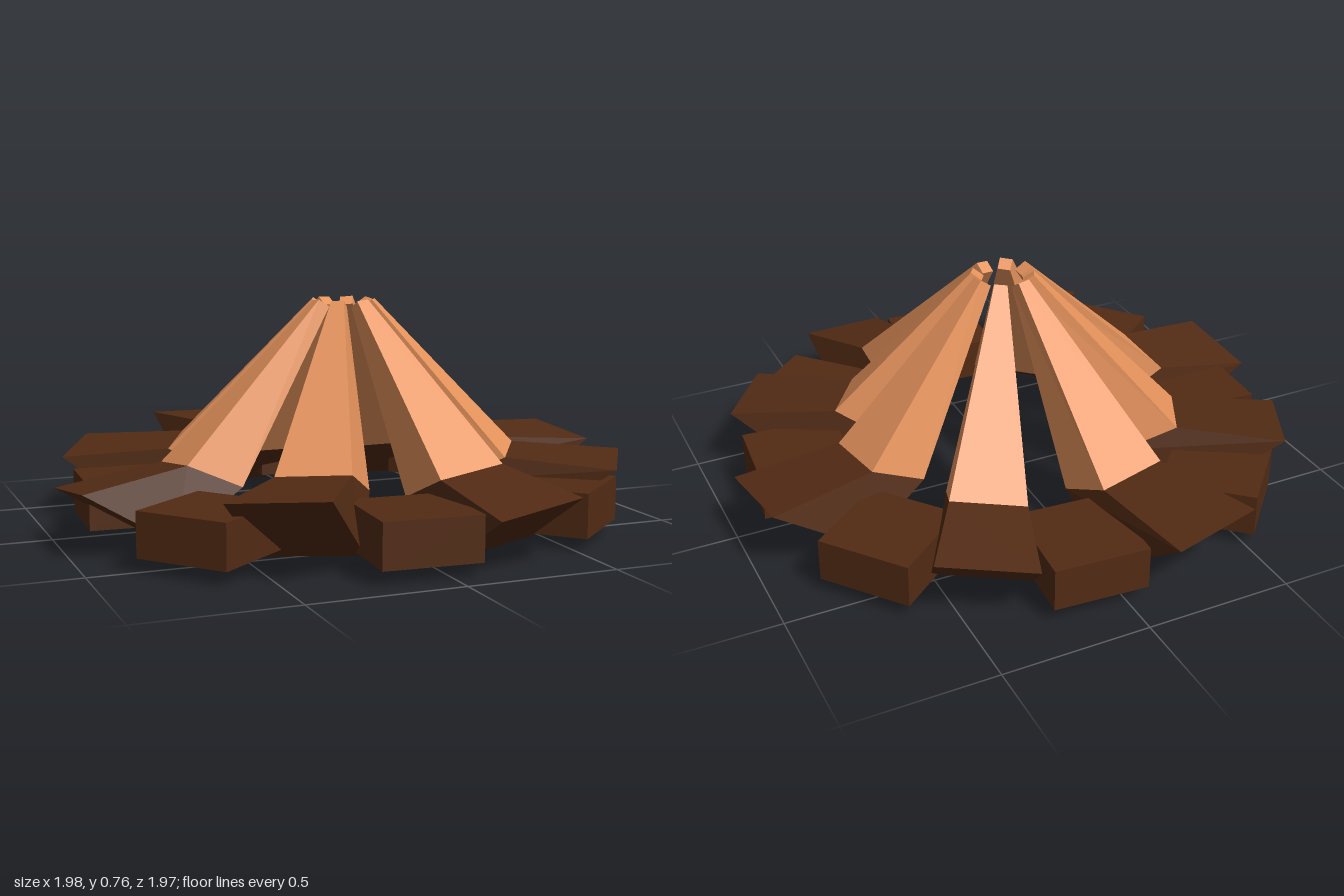
import * as THREE from 'three';

const orange = new THREE.MeshStandardMaterial({ color: 0xe6935c, flatShading: true });
const brown = new THREE.MeshStandardMaterial({ color: 0x522b14, flatShading: true });
const rad = THREE.MathUtils.degToRad;

// Four-sided block between two end quads; each end is [outer, inner] edges
// given as [reach, height, half width].
function taperedBlock(upper, lower, material, name) {
  const pos = [];
  for (const [o, i] of [upper, lower]) {
    pos.push(o[0], o[1], o[2], o[0], o[1], -o[2], i[0], i[1], -i[2], i[0], i[1], i[2]);
  }
  const index = [0, 1, 2, 0, 2, 3, 4, 6, 5, 4, 7, 6];
  for (let k = 0; k < 4; k++) {
    const n = (k + 1) % 4;
    index.push(k, k + 4, n + 4, k, n + 4, n);
  }
  let geo = new THREE.BufferGeometry();
  geo.setAttribute('position', new THREE.Float32BufferAttribute(pos, 3));
  geo.setIndex(index);
  geo = geo.toNonIndexed();
  geo.computeVertexNormals();
  const mesh = new THREE.Mesh(geo, material);
  mesh.name = name;
  return mesh;
}

// Leaning log: long tapered shaft with a wide flared foot, rolled about its axis
function makeLog([angle, reach, footReach, footY, roll]) {
  const tip = [[0.105, 0.76, 0.022], [0.068, 0.735, 0.022]];
  const knee = [[reach, 0.255, 0.125], [reach - 0.18, 0.17, 0.132]];
  const foot = [[footReach, footY, 0.162], [reach + 0.07, 0.02, 0.165]];
  const rolled = new THREE.Group();
  rolled.add(taperedBlock(tip, knee, orange, 'logShaft'));
  rolled.add(taperedBlock(knee, foot, brown, 'logFoot'));

  const pivot = new THREE.Vector3(0.087, 0.748, 0);
  const axis = new THREE.Vector3(reach - 0.09, 0.212, 0).sub(pivot).normalize();
  rolled.quaternion.setFromAxisAngle(axis, rad(roll));
  rolled.position.copy(pivot).sub(pivot.clone().applyQuaternion(rolled.quaternion));

  const log = new THREE.Group();
  log.name = 'leaningLog';
  log.add(rolled);
  log.position.set(0.003, 0, 0.035);
  // Rolling swings the foot sideways, so turn the log back a little
  log.rotation.y = -rad(angle - roll * 0.3);
  return log;
}

export function createModel() {
  const model = new THREE.Group();
  model.name = 'campfire';

  // Logs: angle, reach of the knee, reach and height of the foot edge, roll
  const logs = [
    [31, 0.57, 0.935, 0.235, 5], [73.3, 0.63, 0.955, 0.195, 9],
    [122.3, 0.56, 0.95, 0.255, 7], [171.1, 0.645, 1.0, 0.2, 10],
    [211.2, 0.60, 0.965, 0.23, -8], [254.7, 0.635, 1.02, 0.25, 4],
    [298.3, 0.64, 0.937, 0.22, -8], [350, 0.61, 0.975, 0.23, 8],
  ];
  for (const l of logs) model.add(makeLog(l));

  // Ring of base blocks: x, z, facing angle
  const blocks = [
    [0.08, -0.70, -86], [0.615, -0.415, -38.5], [0.725, 0.145, 5], [0.53, 0.57, 48],
    [-0.06, 0.76, 93.5], [-0.62, 0.525, 141], [-0.73, -0.04, 183], [-0.51, -0.555, 223],
  ];
  // The sixth-sense of depth: every block is the same squat box
  const blockGeo = new THREE.BoxGeometry(0.325, 0.145, 0.32);
  for (const [x, z, angle] of blocks) {
    const block = new THREE.Mesh(blockGeo, brown);
    block.name = 'baseBlock';
    block.position.set(x, 0.118, z);
    block.rotation.y = -rad(angle);
    model.add(block);
  }
  return model;
}
